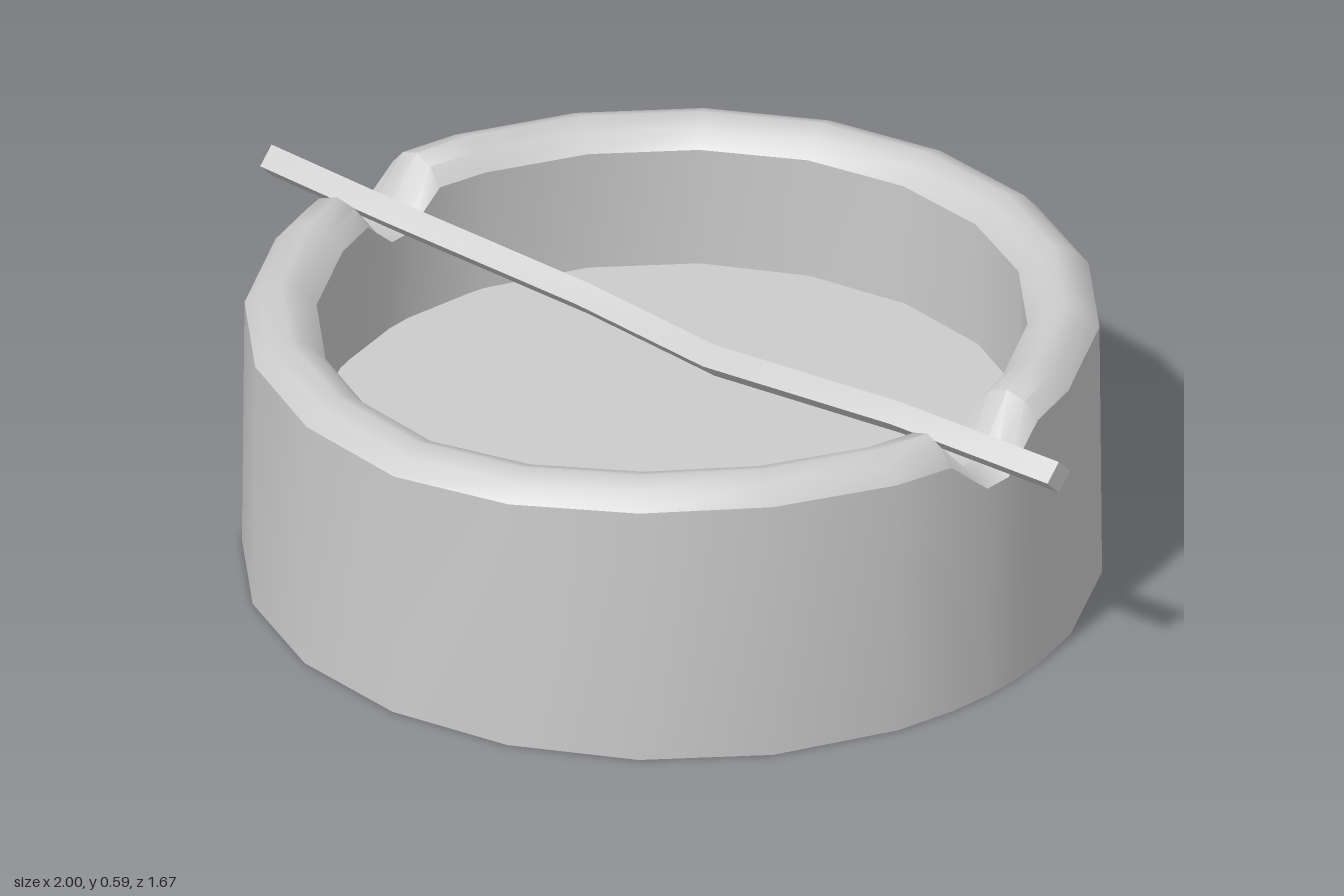
import * as THREE from 'three';
import { toCreasedNormals } from 'three/addons/utils/BufferGeometryUtils.js';

const CX = 0.03; // the vessel sits slightly off centre under the stick
const material = new THREE.MeshStandardMaterial({ color: 0xcccccc, side: THREE.DoubleSide });

// Joins rings of points into a surface; each ring closes on itself
function skin(rings) {
  const n = rings[0].length, index = [];
  for (let j = 0; j < rings.length - 1; j++) {
    for (let i = 0; i < n; i++) {
      const a = j * n + i, b = j * n + (i + 1) % n, c = a + n, d = b + n;
      index.push(a, c, b, b, c, d);
    }
  }
  const geometry = new THREE.BufferGeometry();
  geometry.setAttribute('position', new THREE.Float32BufferAttribute(rings.flat(2), 3));
  geometry.setIndex(index);
  return geometry;
}

// Twenty sides, with extra columns around the two notches
function columnAngles() {
  const list = [];
  for (let i = 0; i < 20; i++) {
    if (i % 10 === 0) list.push(i * 18 - 9, i * 18 - 2.2, i * 18 + 2.2, i * 18 + 9);
    else list.push(i * 18);
  }
  return list;
}
const angles = columnAngles();

// Slight hand-made unevenness of the rim, every 45 degrees
const wave = [0, 0.015, -0.015, -0.008, 0, -0.01, 0, 0.01];
function unevenness(deg) {
  const t = ((deg + 360) % 360) / 45, i = Math.floor(t);
  return THREE.MathUtils.lerp(wave[i % 8], wave[(i + 1) % 8], t - i);
}

// A ring at a radius and height; rim rings follow the wave and dip at notches
function ring(radius, height, notch = 0) {
  return angles.map((deg) => {
    const a = THREE.MathUtils.degToRad(deg);
    const nearNotch = Math.abs(deg) < 5 || Math.abs(deg - 180) < 5;
    const y = notch ? height + unevenness(deg) - (nearNotch ? notch : 0) : height;
    return [CX + radius * Math.cos(a), y, radius * Math.sin(a)];
  });
}

function addMesh(group, name, geometry) {
  const mesh = new THREE.Mesh(geometry, material);
  mesh.name = name;
  group.add(mesh);
  return mesh;
}

export function createModel() {
  const model = new THREE.Group();
  model.name = 'notchedBowlWithStick';

  // Hollow double wall, open underneath
  const outerTop = ring(0.83, 0.53, 0.08);
  const innerTop = ring(0.69, 0.53, 0.07);
  const outer = skin([ring(0.835, 0), outerTop]);
  outer.computeVertexNormals();
  addMesh(model, 'outerWall', outer);
  const inner = skin([innerTop, ring(0.7, 0)]);
  inner.computeVertexNormals();
  addMesh(model, 'innerWall', inner);

  // Rounded rim with a notch on each side
  const rim = skin([
    outerTop,
    ring(0.8, 0.563, 0.1),
    ring(0.76, 0.577, 0.105),
    ring(0.72, 0.563, 0.1),
    innerTop,
  ]);
  addMesh(model, 'rim', toCreasedNormals(rim, 0.85));

  // Raised floor inside
  const floor = addMesh(model, 'floor', new THREE.CircleGeometry(0.698, 20));
  floor.rotation.x = -Math.PI / 2;
  floor.position.set(CX, 0.27, 0);

  // Crooked square stick lying edge-up in the notches
  const path = [
    [-1, 0.505, -0.014], [-0.68, 0.503, 0], [-0.2, 0.478, -0.02],
    [0.15, 0.478, 0.014], [0.63, 0.522, 0.02], [1, 0.505, -0.016],
  ];
  const h = 0.034;
  const section = ([x, y, z]) => [[x, y + h, z], [x, y, z + h], [x, y - h, z], [x, y, z - h]];
  const point = ([x, y, z]) => Array(4).fill([x, y, z]);
  const stick = skin([point(path[0]), ...path.map(section), point(path[path.length - 1])]);
  addMesh(model, 'stick', toCreasedNormals(stick, 0.5));

  return model;
}
